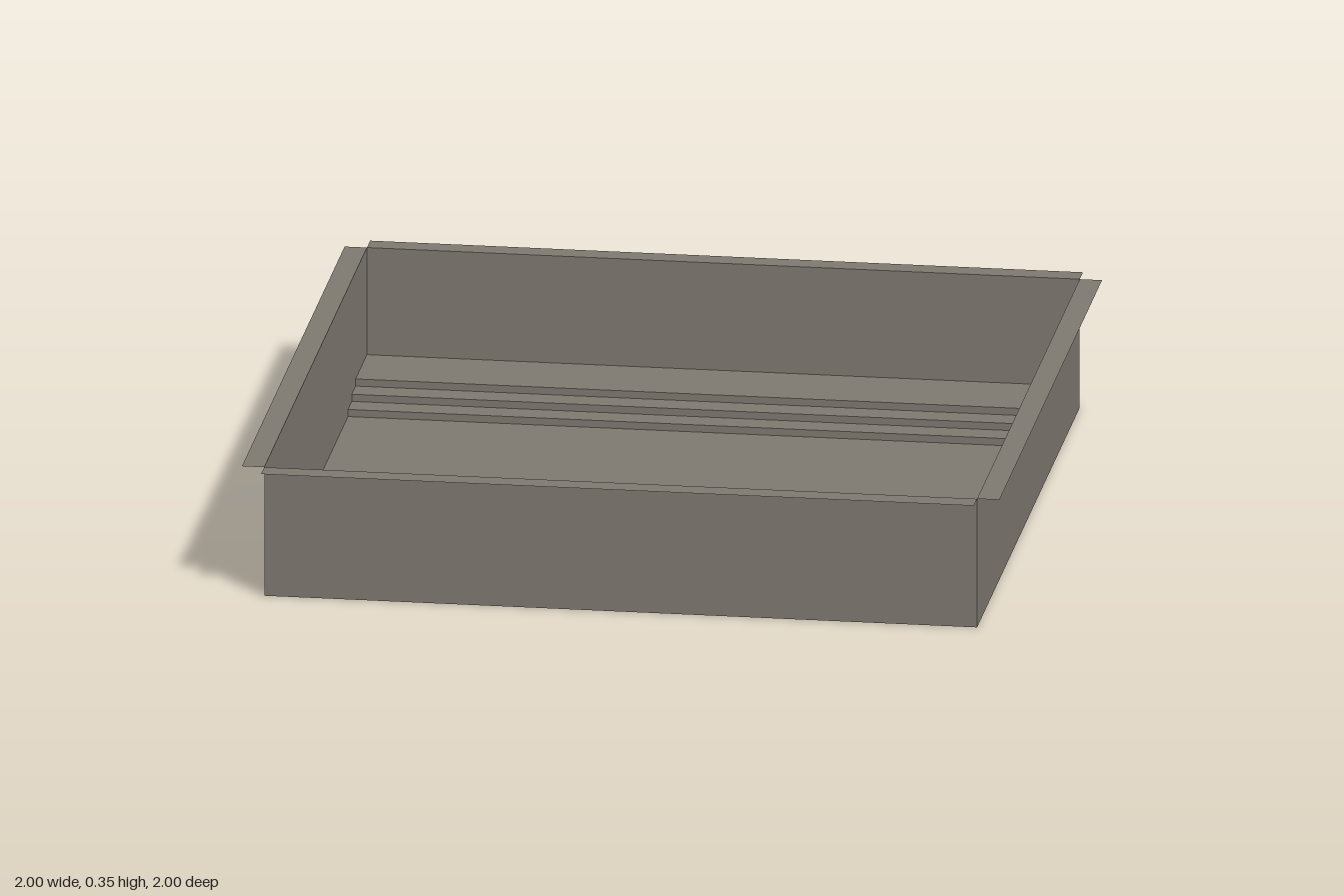
import * as THREE from 'three';

const HALF = 0.941;     // half width of the tray
const H = 0.353;        // wall height
const RIM = 0.059;      // rim width
const STEP_H = 0.0196;  // height of one step
const EDGES = [-0.594, -0.663, -0.733, -HALF]; // step edges, front to back

export function createModel() {
  const group = new THREE.Group();
  const sheet = new THREE.MeshStandardMaterial({ color: 0x7d7970, side: THREE.DoubleSide });
  sheet.name = 'warm grey';
  const pad = new THREE.MeshStandardMaterial({ color: 0xae9870, side: THREE.DoubleSide });
  pad.name = 'sand';

  const add = (name, geometry, material, x = 0, y = 0, z = 0) => {
    const mesh = new THREE.Mesh(geometry, material);
    mesh.name = name;
    mesh.position.set(x, y, z);
    group.add(mesh);
    return mesh;
  };
  // level sheet between two x and two z values
  const level = (name, x0, x1, z0, z1, y, material = sheet) =>
    add(name, new THREE.PlaneGeometry(x1 - x0, z1 - z0).rotateX(-Math.PI / 2),
      material, (x0 + x1) / 2, y, (z0 + z1) / 2);

  // main floor, with openings for the two pads
  const rect = (Type, x0, x1, z0, z1) => new Type([
    new THREE.Vector2(x0, -z1), new THREE.Vector2(x1, -z1),
    new THREE.Vector2(x1, -z0), new THREE.Vector2(x0, -z0),
  ]);
  const floor = rect(THREE.Shape, -HALF, HALF, EDGES[0], HALF);
  for (const [x0, x1] of [[-0.706, -0.471], [0.471, 0.706]]) {
    floor.holes.push(rect(THREE.Path, x0, x1, 0.235, 0.706));
    level(x0 < 0 ? 'rightPad' : 'leftPad', x0, x1, 0.235, 0.706, 0, pad);
  }
  add('floor', new THREE.ShapeGeometry(floor).rotateX(-Math.PI / 2), sheet);

  // three shallow steps rising to the back
  for (let i = 0; i < 3; i++) {
    const y = (i + 1) * STEP_H;
    add('riser', new THREE.PlaneGeometry(2 * HALF, STEP_H), sheet, 0, y - STEP_H / 2, EDGES[i]);
    level('tread', -HALF, HALF, EDGES[i + 1], EDGES[i], y);
  }

  // walls and outward rims on all four sides, rims open at the corners
  ['front', 'left', 'back', 'right'].forEach((side, i) => {
    const part = new THREE.Group();
    part.name = side + 'Side';
    const wall = new THREE.Mesh(new THREE.PlaneGeometry(2 * HALF, H), sheet);
    wall.name = side + 'Wall';
    wall.position.set(0, H / 2, HALF);
    const rim = new THREE.Mesh(new THREE.PlaneGeometry(2 * HALF, RIM).rotateX(-Math.PI / 2), sheet);
    rim.name = side + 'Rim';
    rim.position.set(0, H, HALF + RIM / 2);
    part.add(wall, rim);
    part.rotation.y = i * Math.PI / 2;
    group.add(part);
  });

  // posts at the outer front corners of the pads
  for (const s of [-1, 1]) {
    add(s < 0 ? 'rightPost' : 'leftPost', new THREE.BoxGeometry(0.039, 0.235, 0.039),
      sheet, s * 0.706, 0.1175, 0.706);
  }
  return group;
}
